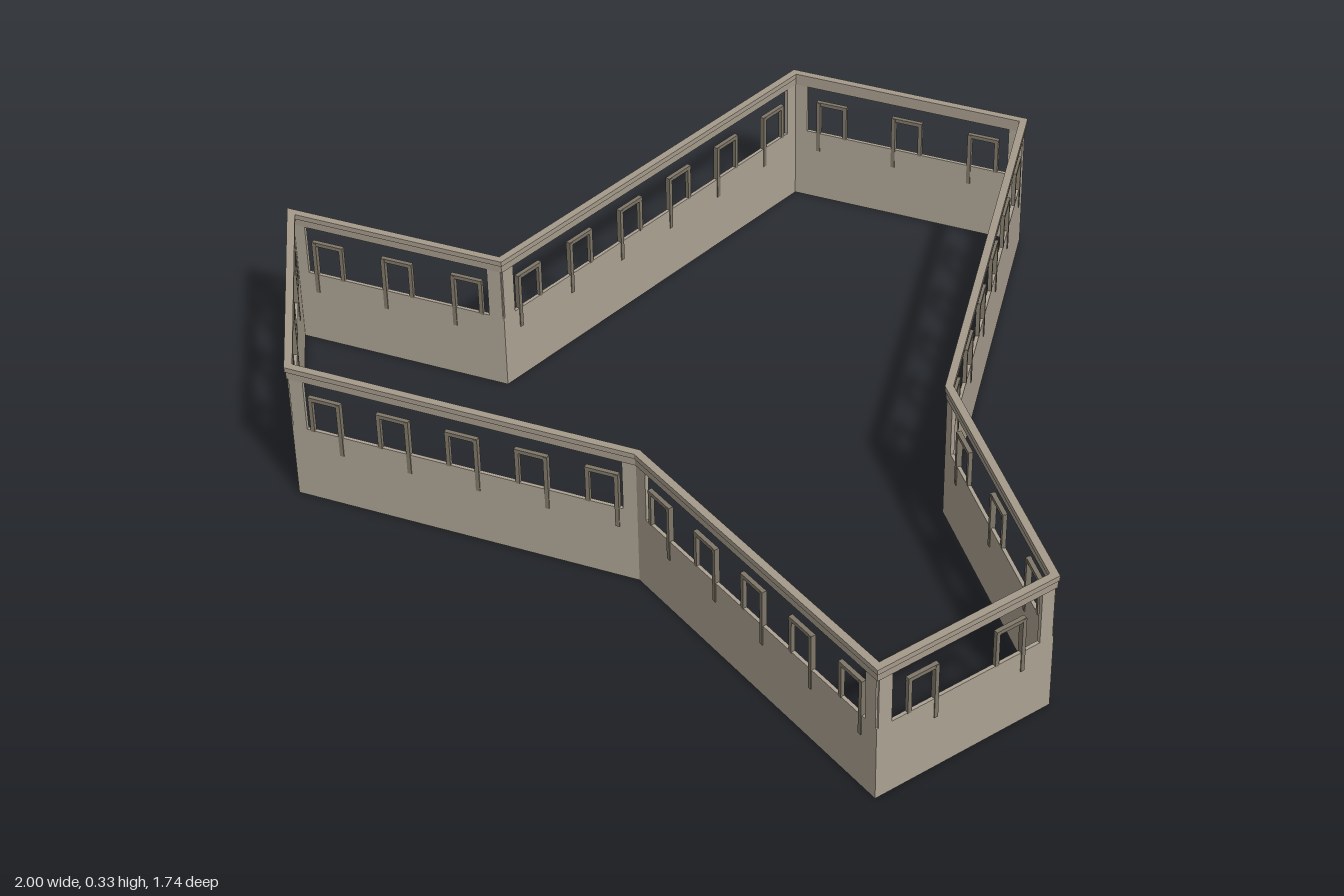
import * as THREE from 'three';

// wall corners in plan [x, z], clockwise from above
const CORNERS = [
  [-0.562, -0.662], [-0.048, -0.861], [0.465, 0], [0.99, 0.31], [0.914, 0.728],
  [0.15, 0.58], [-0.57, 0.861], [-0.986, 0.492], [-0.522, 0.31],
].map(([x, z]) => new THREE.Vector2(x, z));

const material = (name, color) => {
  const m = new THREE.MeshStandardMaterial({ color });
  m.name = name;
  return m;
};

// plan outline moved sideways by d with mitred corners
function offsetOutline(d) {
  const n = CORNERS.length;
  return CORNERS.map((p, i) => {
    const a = p.clone().sub(CORNERS[(i + n - 1) % n]).normalize();
    const b = CORNERS[(i + 1) % n].clone().sub(p).normalize();
    const na = new THREE.Vector2(a.y, -a.x);
    const nb = new THREE.Vector2(b.y, -b.x);
    const m = na.clone().add(nb).multiplyScalar(d / (1 + na.dot(nb)));
    return new THREE.Vector2(p.x + m.x, -(p.y + m.y));
  });
}

// closed band following the outline between two heights
function band(name, thickness, y0, y1, mat) {
  const shape = new THREE.Shape(offsetOutline(thickness / 2));
  // the hole runs against the outline so its walls face inwards
  shape.holes.push(new THREE.Path(offsetOutline(-thickness / 2).reverse()));
  const geo = new THREE.ExtrudeGeometry(shape, { depth: y1 - y0, bevelEnabled: false });
  geo.rotateX(-Math.PI / 2).translate(0, y0, 0);
  const mesh = new THREE.Mesh(geo, mat);
  mesh.name = name;
  return mesh;
}

function box(name, x, y0, y1, w, d, mat) {
  const mesh = new THREE.Mesh(new THREE.BoxGeometry(w, y1 - y0, d), mat);
  mesh.position.set(x, (y0 + y1) / 2, 0);
  mesh.name = name;
  return mesh;
}

// small frame standing on the parapet, one leg running further down
function frame(x, mat) {
  const g = new THREE.Group();
  g.name = 'windowFrame';
  g.position.x = x;
  g.add(
    box('longLeg', -0.032, 0.13, 0.262, 0.009, 0.012, mat),
    box('shortLeg', 0.032, 0.175, 0.262, 0.009, 0.009, mat),
    box('frameHead', 0, 0.254, 0.263, 0.073, 0.01, mat),
  );
  return g;
}

export function createModel() {
  const wall = material('wall stone', 0xaca293);
  const trim = material('trim stone', 0xa59b8b);
  const frames = material('frame stone', 0x7e7668);

  const model = new THREE.Group();
  model.name = 'enclosureWall';

  // parapet, lintel and cornice
  model.add(
    band('parapet', 0.008, 0, 0.178, wall),
    band('lintel', 0.012, 0.3, 0.318, trim),
    band('cornice', 0.017, 0.318, 0.33, trim),
  );

  // end pillars and evenly spaced frames on every side
  const pillar = 0.032;
  CORNERS.forEach((p, i) => {
    const q = CORNERS[(i + 1) % CORNERS.length];
    const length = p.distanceTo(q);
    const side = new THREE.Group();
    side.name = 'wallSide' + (i + 1);
    side.position.set(p.x, 0, p.y);
    side.rotation.y = Math.atan2(p.y - q.y, q.x - p.x);
    for (const x of [pillar / 2, length - pillar / 2]) {
      side.add(box('endPillar', x, 0.178, 0.3, pillar, 0.008, wall));
    }
    const count = Math.floor(length / 0.154);
    for (let k = 0; k < count; k++) side.add(frame((length * (k + 0.5)) / count, frames));
    model.add(side);
  });

  return model;
}
